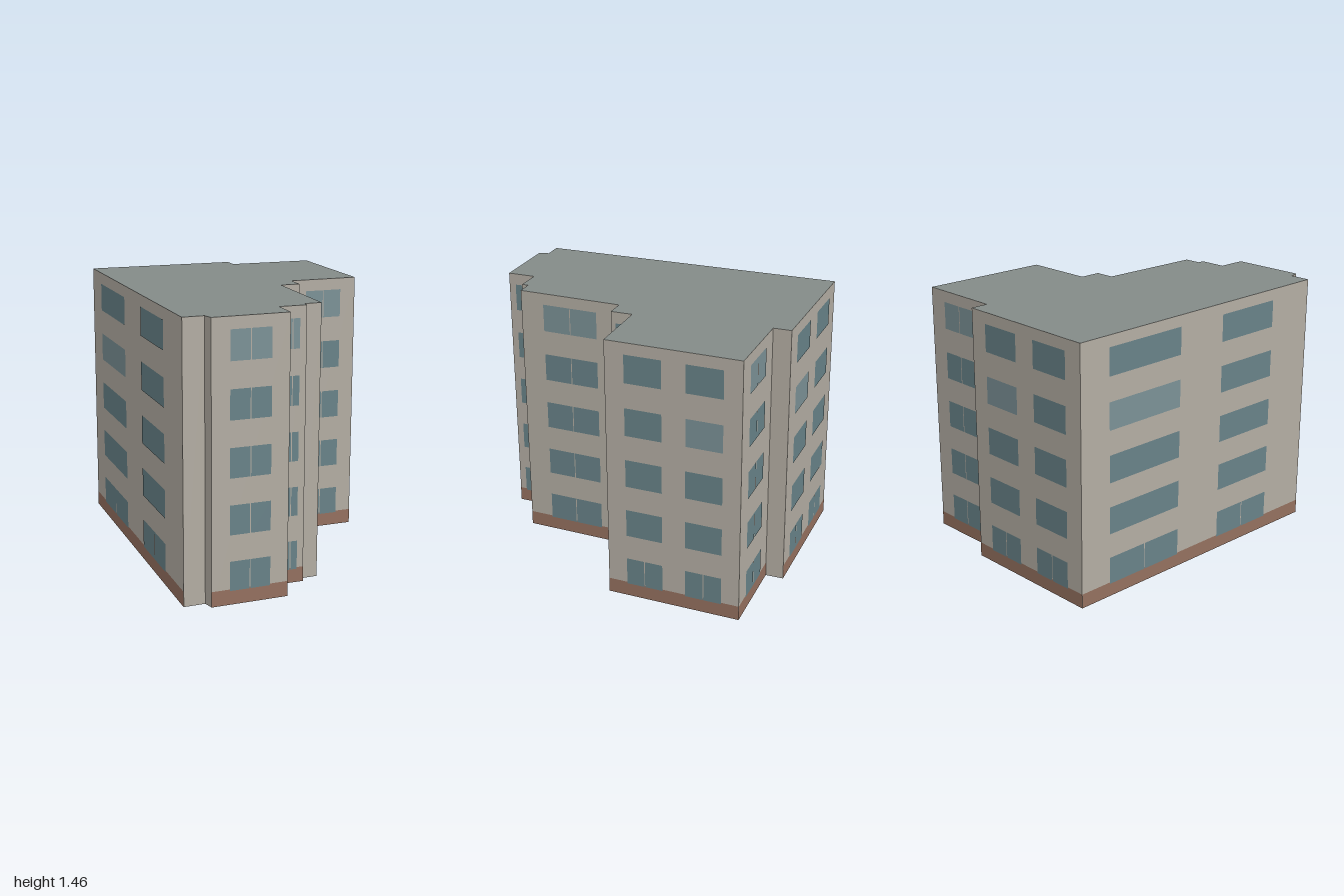
import * as THREE from 'three';

const HEIGHT = 1.455, PLINTH = 0.081;
const FLOORS = 5, FLOOR_STEP = 0.2912, WINDOW_H = 0.154, FIRST_WINDOW_Y = 0.15;

const paint = (color, side = THREE.FrontSide) => new THREE.MeshStandardMaterial({ color, side });
const wallPaint = paint(0xb3ada3, THREE.DoubleSide), roofPaint = paint(0x848b88, THREE.DoubleSide);
const plinthPaint = paint(0x94705f), glass = paint(0x688288), paleGlass = paint(0x7b9196);

// Footprint corners [x, z] in order round the building. Each entry describes the wall
// running to the next corner: window columns as fractions of its length, and the
// [column, floor] of its paler pane. Walls without columns are plain.
const WALLS = [
  { at: [0.595, 0.495], cols: [[0.145, 0.42], [0.595, 0.867]], pale: [1, 3] },
  { at: [1, -0.13], cols: [[0.235, 0.765]], pale: [0, 4] },
  { at: [0.585, -0.375] },
  { at: [0.637, -0.46], cols: [[0.13, 0.42], [0.58, 0.87]], pale: [0, 3] },
  { at: [-0.088, -0.895], cols: [[0.112, 0.406], [0.59, 0.826]], pale: [0, 3] },
  { at: [-1, 0.585] },
  { at: [-0.9, 0.64] },
  { at: [-0.917, 0.695], cols: [[0.235, 0.765]], pale: [0, 4] },
  { at: [-0.558, 0.895], cols: [[0.25, 0.8]] },
  { at: [-0.472, 0.76], cols: [[0.245, 0.755]], pale: [0, 4] },
  { at: [-0.341, 0.835] },
  { at: [-0.32, 0.805] },
  { at: [-0.238, 0.85], cols: [[0.23, 0.77]], pale: [0, 4] },
  { at: [0.095, 0.35] },
  { at: [0.19, 0.405], cols: [[0.2, 0.8]] },
  { at: [0.255, 0.302], cols: [[0.23, 0.77]], pale: [0, 4] },
];

// Flat roof over the whole footprint
function roof() {
  const shape = new THREE.Shape(WALLS.map(w => new THREE.Vector2(w.at[0], -w.at[1])));
  const mesh = new THREE.Mesh(new THREE.ShapeGeometry(shape).rotateX(-Math.PI / 2), roofPaint);
  mesh.position.y = HEIGHT;
  mesh.name = 'roof';
  return mesh;
}

// Flat upright rectangle from x0 to x1 and y0 to y1, standing `out` in front of the wall line
function panel(name, x0, x1, y0, y1, out, material) {
  const mesh = new THREE.Mesh(new THREE.PlaneGeometry(x1 - x0, y1 - y0), material);
  mesh.position.set((x0 + x1) / 2, (y0 + y1) / 2, out);
  mesh.name = name;
  return mesh;
}

// One wall with its plinth and windows: local x runs along it, local z points outward
function facade({ at: [x, z], cols, pale }, next) {
  const dx = next.at[0] - x, dz = next.at[1] - z;
  const length = Math.hypot(dx, dz);
  const group = new THREE.Group();
  group.name = 'facade';
  group.position.set(x, 0, z);
  group.rotation.y = Math.atan2(-dz, dx);
  group.add(panel('wall', 0, length, 0, HEIGHT, 0, wallPaint));
  if (!cols) return group;

  group.add(panel('plinth', 0, length, 0, PLINTH, 0.001, plinthPaint));
  cols.forEach(([from, to], col) => {
    const a = from * length, b = to * length, mid = (a + b) / 2;
    for (let floor = 0; floor < FLOORS; floor++) {
      const y = FIRST_WINDOW_Y + floor * FLOOR_STEP;
      const isPale = pale && pale[0] === col && pale[1] === floor;
      // Single columns and the ground floor have paired panes with a narrow gap
      const split = cols.length === 1 || floor === 0;
      const panes = split ? [[a, mid - 0.0025], [mid + 0.0025, b]] : [[a, b]];
      for (const [p, q] of panes) {
        group.add(panel('windowPane', p, q, y - WINDOW_H / 2, y + WINDOW_H / 2, 0.002,
          isPale ? paleGlass : glass));
      }
    }
  });
  return group;
}

export function createModel() {
  const model = new THREE.Group();
  model.name = 'apartmentBlock';
  model.add(roof());
  WALLS.forEach((wall, i) => model.add(facade(wall, WALLS[(i + 1) % WALLS.length])));
  return model;
}
